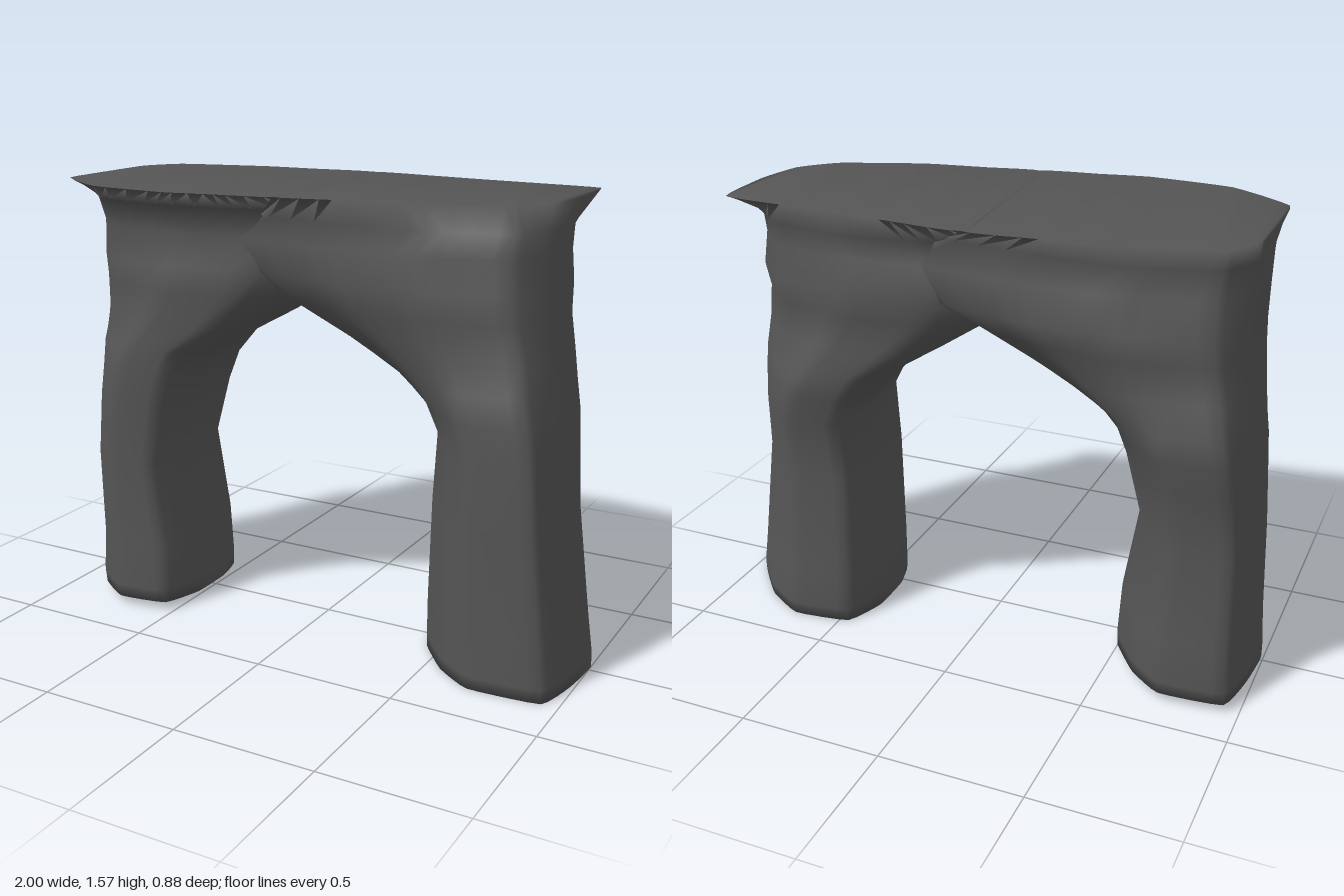
import * as THREE from 'three';

const SIDES = 48;

// Outlines run from the outer side (+x) towards +z, in units of the level's box
const PILLAR = [
  [1, 0], [0.95, 0.5], [0.8, 0.95], [-0.05, 1], [-0.5, 0.75], [-0.88, 0.35],
  [-1, 0], [-1, -0.5], [-0.8, -0.92], [-0.1, -1], [0.4, -0.75], [0.8, -0.35],
];
const SPAN = [
  [1, 0], [0.97, 0.4], [0.82, 0.8], [0.3, 1], [-0.4, 0.98], [-1, 0.82],
  [-1, 0], [-1, -0.6], [-0.5, -0.9], [0.1, -1], [0.65, -0.85], [0.9, -0.45],
];

// Smooth closed ring through an outline at one height
function ring(outline, y) {
  const points = outline.map(([x, z]) => new THREE.Vector3(x, y, z));
  const curve = new THREE.CatmullRomCurve3(points, true, 'catmullrom', 0.2);
  return Array.from({ length: SIDES }, (_, j) => curve.getPoint(j / SIDES));
}

// Level: y, inner x, outer x, back z, front z, blend from pillar to span outline
function levelRing([y, xi, xo, zb, zf, t]) {
  const outline = PILLAR.map(([px, pz], i) => {
    const u = px + (SPAN[i][0] - px) * t;
    const v = pz + (SPAN[i][1] - pz) * t;
    return [(xi + xo) / 2 + u * (xo - xi) / 2, (zb + zf) / 2 + v * (zf - zb) / 2];
  });
  return ring(outline, y);
}

// Closed rock skin: walls between the rings, strips across foot and top
function archHalf(name, levels, top, material) {
  const rings = [...levels.map(levelRing), ring(top, 1.58)];
  const idx = [];
  for (let i = 0; i < rings.length - 1; i++) {
    for (let j = 0; j < SIDES; j++) {
      const a = i * SIDES + j, b = i * SIDES + (j + 1) % SIDES;
      idx.push(a, a + SIDES, b, b, a + SIDES, b + SIDES);
    }
  }
  const last = (rings.length - 1) * SIDES, halfway = SIDES / 2;
  const closeEnds = (a, b, c) => idx.push(last + a, last + b, last + c, a, c, b);
  for (let j = 0; j < halfway; j++) {
    if (j > 0) closeEnds(j + 1, j, SIDES - j);
    if (j < halfway - 1) closeEnds(j + 1, (SIDES - j) % SIDES, SIDES - j - 1);
  }
  const geometry = new THREE.BufferGeometry().setFromPoints(rings.flat());
  geometry.setIndex(idx);
  geometry.computeVertexNormals();
  const mesh = new THREE.Mesh(geometry, material);
  mesh.name = name;
  return mesh;
}

export function createModel() {
  const model = new THREE.Group();
  model.name = 'stoneArch';
  const stone = new THREE.MeshStandardMaterial({ color: 0x555555 });
  stone.name = 'darkStone';

  // Half on the +x side
  const leftLevels = [
    [0.01, 0.41, 1.00, -0.37, 0.32, 0],
    [0.06, 0.41, 1.00, -0.38, 0.33, 0],
    [0.20, 0.41, 0.98, -0.37, 0.32, 0],
    [0.57, 0.43, 0.94, -0.34, 0.33, 0],
    [0.80, 0.44, 0.92, -0.38, 0.33, 0],
    [0.91, 0.38, 0.91, -0.40, 0.33, 0],
    [1.00, 0.29, 0.895, -0.41, 0.33, 0.15],
    [1.10, 0.13, 0.885, -0.38, 0.31, 0.35],
    [1.22, -0.05, 0.87, -0.38, 0.33, 0.65],
    [1.31, -0.14, 0.865, -0.41, 0.34, 0.9],
    [1.42, -0.24, 0.86, -0.37, 0.32, 1],
    [1.50, -0.12, 0.86, -0.38, 0.32, 1],
  ];
  const leftTop = [
    [0.86, -0.1], [0.83, 0.08], [0.72, 0.2], [0.43, 0.31], [0.2, 0.345], [0, 0.37],
    [-0.03, 0], [-0.06, -0.43], [0.2, -0.42], [0.4, -0.4], [0.62, -0.385], [0.84, -0.36],
  ];
  model.add(archHalf('leftArchHalf', leftLevels, leftTop, stone));

  // Half on the -x side, turned half round
  const rightLevels = [
    [0.04, 0.48, 1.00, -0.32, 0.37, 0],
    [0.09, 0.48, 1.00, -0.33, 0.38, 0],
    [0.25, 0.49, 0.99, -0.32, 0.37, 0],
    [0.57, 0.54, 0.975, -0.32, 0.34, 0],
    [0.80, 0.49, 0.965, -0.33, 0.39, 0],
    [0.91, 0.45, 0.96, -0.33, 0.41, 0],
    [1.00, 0.39, 0.95, -0.33, 0.43, 0.15],
    [1.10, 0.21, 0.94, -0.31, 0.40, 0.35],
    [1.22, 0.03, 0.93, -0.32, 0.41, 0.65],
    [1.31, -0.08, 0.93, -0.32, 0.44, 0.9],
    [1.42, -0.2, 0.93, -0.29, 0.39, 1],
    [1.52, -0.06, 0.93, -0.33, 0.40, 1],
  ];
  const rightTop = [
    [0.92, 0], [0.92, 0.2], [0.83, 0.33], [0.5, 0.41], [0.3, 0.42], [0.04, 0.43],
    [0, 0], [-0.01, -0.37], [0.2, -0.41], [0.38, -0.44], [0.68, -0.41], [0.91, -0.25],
  ];
  const right = archHalf('rightArchHalf', rightLevels, rightTop, stone);
  right.rotation.y = Math.PI;
  model.add(right);

  return model;
}
